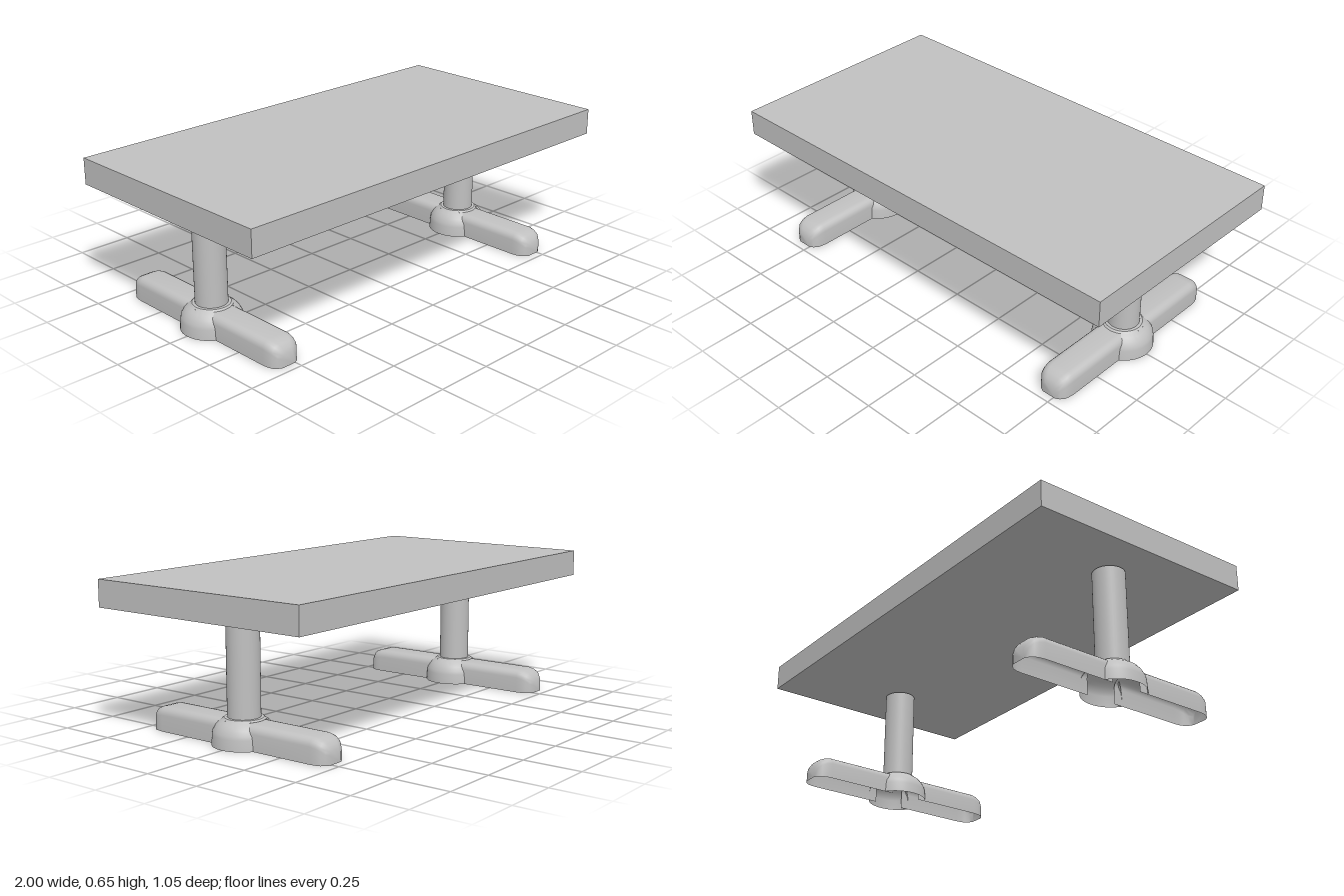
import * as THREE from 'three';
import { toCreasedNormals } from 'three/addons/utils/BufferGeometryUtils.js';

const grey = new THREE.MeshStandardMaterial({ color: 0xc0c0c0, side: THREE.DoubleSide });
grey.name = 'plain grey';

function part(name, geometry, parent) {
  const mesh = new THREE.Mesh(geometry, grey);
  mesh.name = name;
  parent.add(mesh);
  return mesh;
}

// Half outline of an arch with rounded shoulders, open at the bottom
function archSection(w, h) {
  const r = Math.min(0.034, w * 0.6, h * 0.6);
  const points = [[w, 0], [w * 0.99, h - r]];
  for (let i = 1; i <= 5; i++) {
    const a = (i / 5) * Math.PI / 2;
    points.push([w * 0.99 - r + r * Math.cos(a), h - r + r * Math.sin(a)]);
  }
  return [...points, ...points.map(([x, y]) => [-x, y]).reverse()];
}

// Hollow foot arm lofted along +z, closed by its blunt tip
function armGeometry() {
  const stations = [ // z, half width, height
    [0.07, 0.072, 0.103], [0.395, 0.072, 0.103], [0.42, 0.069, 0.098],
    [0.44, 0.063, 0.09], [0.455, 0.05, 0.072], [0.465, 0.032, 0.055],
  ];
  const position = [], index = [];
  let n = 0;
  for (const [z, w, h] of stations) {
    const ring = archSection(w, h);
    n = ring.length;
    ring.forEach(([x, y]) => position.push(x, y, z));
  }
  for (let s = 0; s < stations.length - 1; s++) {
    for (let i = 0; i < n - 1; i++) {
      const a = s * n + i, b = a + 1, c = a + n, d = c + 1;
      index.push(a, b, c, b, d, c);
    }
  }
  const tip = (stations.length - 1) * n;
  for (let i = 1; i < n - 1; i++) index.push(tip, tip + i, tip + i + 1);
  const geometry = new THREE.BufferGeometry();
  geometry.setAttribute('position', new THREE.Float32BufferAttribute(position, 3));
  geometry.setIndex(index);
  return toCreasedNormals(geometry, 0.6);
}

function lathe(points, start, length, segments) {
  const profile = points.map(([r, y]) => new THREE.Vector2(r, y));
  return toCreasedNormals(new THREE.LatheGeometry(profile, segments, start, length), 0.5);
}

function createLeg(x) {
  const leg = new THREE.Group();
  leg.name = 'leg';
  leg.position.x = x;
  part('post', new THREE.CylinderGeometry(0.068, 0.068, 0.417, 40), leg).position.y = 0.3185;

  // Hub collar and its two bulging cheeks, left open where the arms enter
  part('hubCollar', lathe([[0.088, 0.105], [0.08, 0.112], [0.066, 0.113]], 0, Math.PI * 2, 40), leg);
  const gap = 0.58;
  const cheek = [[0.132, 0], [0.129, 0.045], [0.126, 0.06], [0.115, 0.08], [0.103, 0.094], [0.088, 0.105]];
  for (const side of [0, 1]) {
    part('hubCheek', lathe(cheek, gap + side * Math.PI, Math.PI - 2 * gap, 20), leg);
  }

  // Front and back foot arms
  const arm = armGeometry();
  for (const side of [0, 1]) part('footArm', arm, leg).rotation.y = side * Math.PI;
  return leg;
}

export function createModel() {
  const table = new THREE.Group();
  table.name = 'table';
  part('tabletop', new THREE.BoxGeometry(2, 0.115, 1.046), table).position.y = 0.5905;
  // The two legs stand slightly off centre along the top
  for (const x of [-0.784, 0.725]) table.add(createLeg(x));
  return table;
}
